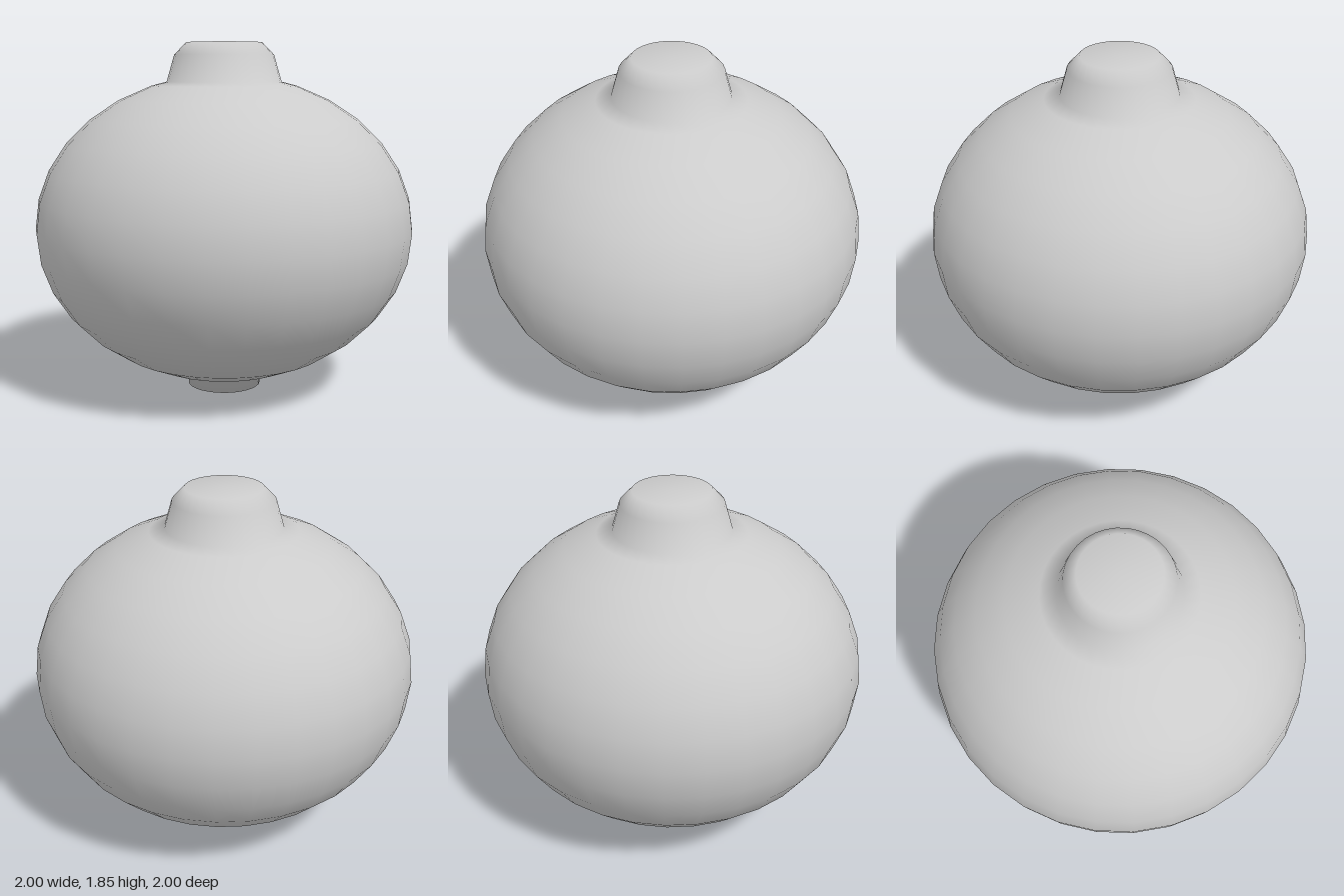
import * as THREE from 'three';

export function createModel() {
  const model = new THREE.Group();
  const profile = [new THREE.Vector2(0, 0), new THREE.Vector2(0.195, 0)]; // closed foot

  // squashed round belly
  for (let k = 1; k <= 14; k++) {
    const a = (k * Math.PI) / 16;
    profile.push(new THREE.Vector2(Math.sin(a), 0.872 - 0.81 * Math.cos(a)));
  }

  // tapered knob with a bevelled, closed top
  for (const [r, y] of [[0.303, 1.641], [0.263, 1.78], [0.2, 1.845], [0, 1.845]]) {
    profile.push(new THREE.Vector2(r, y));
  }

  const body = new THREE.Mesh(
    new THREE.LatheGeometry(profile, 32),
    new THREE.MeshStandardMaterial({ color: 0xcccccc, side: THREE.DoubleSide })
  );
  body.name = 'roundBodyWithKnobAndFoot';
  model.add(body);
  return model;
}
